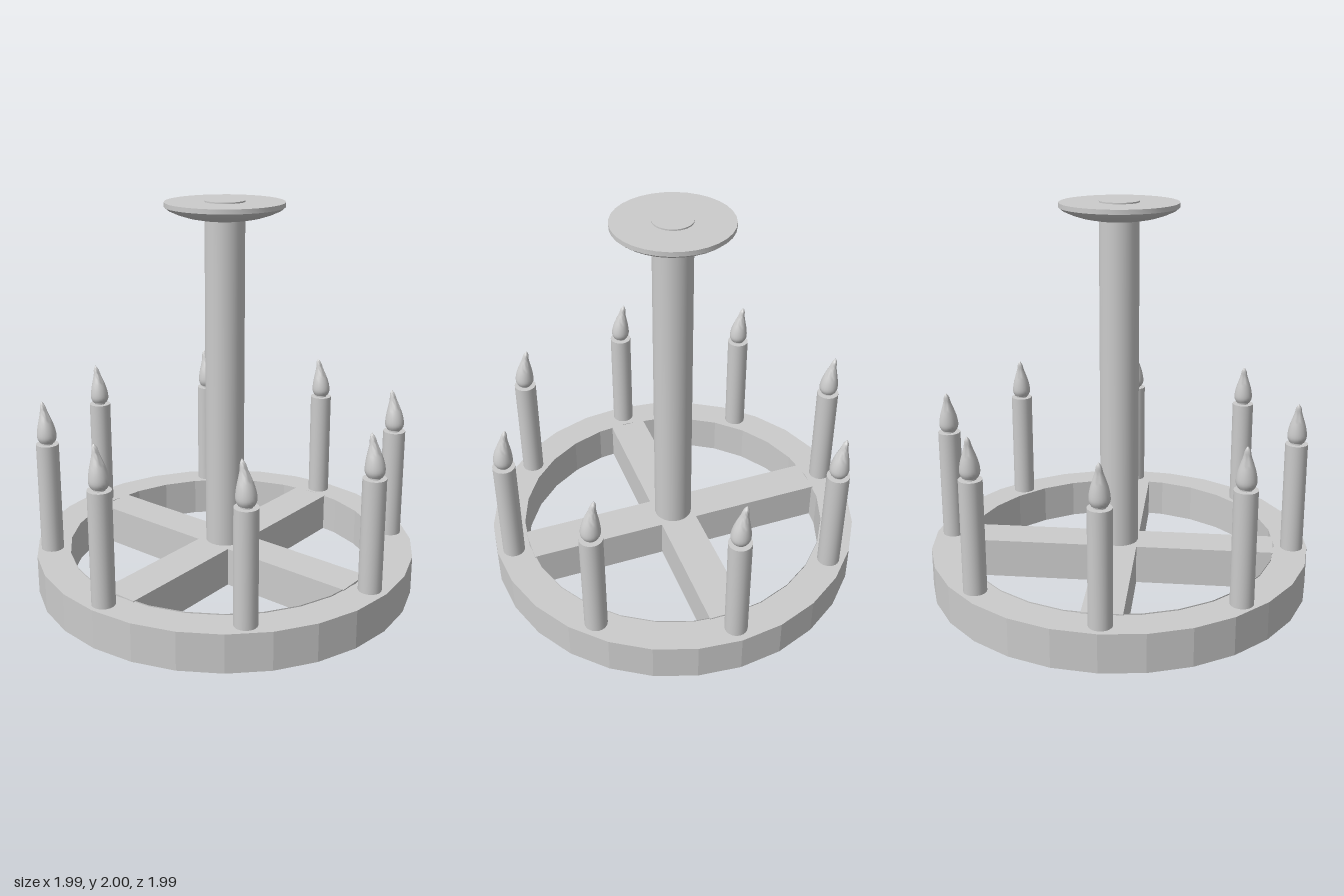
import * as THREE from 'three';
import { toCreasedNormals } from 'three/addons/utils/BufferGeometryUtils.js';

const smooth = new THREE.MeshStandardMaterial({ color: 0xcccccc, side: THREE.DoubleSide });
const faceted = new THREE.MeshStandardMaterial({ color: 0xcccccc, flatShading: true, side: THREE.DoubleSide });

function part(parent, name, geometry, material, x = 0, y = 0, z = 0) {
  const mesh = new THREE.Mesh(geometry, material);
  mesh.name = name;
  mesh.position.set(x, y, z);
  parent.add(mesh);
  return mesh;
}

const lathe = (points, sides) =>
  new THREE.LatheGeometry(points.map(([r, y]) => new THREE.Vector2(r, y)), sides);

const circlePoints = (radius, sides) =>
  Array.from({ length: sides }, (_, i) => {
    const a = (i / sides) * Math.PI * 2;
    return new THREE.Vector2(Math.cos(a) * radius, Math.sin(a) * radius);
  });

// Teardrop flame whose tip leans towards the back
function flameGeometry() {
  const outline = new THREE.SplineCurve([
    [0.038, 0], [0.048, 0.02], [0.049, 0.045], [0.042, 0.085],
    [0.03, 0.125], [0.019, 0.16], [0.013, 0.19], [0.001, 0.21],
  ].map(([r, y]) => new THREE.Vector2(r, y)));
  const points = [new THREE.Vector2(0, 0), ...outline.getPoints(18)];
  const geometry = new THREE.LatheGeometry(points, 20);
  const pos = geometry.attributes.position;
  for (let i = 0; i < pos.count; i++) {
    const t = pos.getY(i) / 0.21;
    pos.setZ(i, pos.getZ(i) - 0.026 * t * t);
  }
  return toCreasedNormals(geometry, 0.9);
}

export function createModel() {
  const model = new THREE.Group();
  model.name = 'candleChandelier';

  // Wheel rim with a slightly raised inner lip
  const rimShape = new THREE.Shape(circlePoints(0.993, 28));
  rimShape.holes.push(new THREE.Path(circlePoints(0.82, 28).reverse()));
  const rimGeometry = new THREE.ExtrudeGeometry(rimShape, { depth: 0.2, bevelEnabled: false });
  rimGeometry.rotateX(-Math.PI / 2);
  part(model, 'rim', rimGeometry, faceted);
  part(model, 'rimLip', new THREE.CylinderGeometry(0.82, 0.82, 0.206, 28, 1, true), faceted, 0, 0.103);

  // Crossed spokes
  part(model, 'spokeAcross', new THREE.BoxGeometry(1.63, 0.206, 0.2), faceted, 0, 0.103);
  for (const side of [-1, 1]) {
    part(model, 'spokeLengthwise', new THREE.BoxGeometry(0.2, 0.206, 0.715), faceted, 0, 0.103, side * 0.4575);
  }

  // Central column and ceiling plate
  part(model, 'column', new THREE.CylinderGeometry(0.1, 0.1, 1.8, 32), smooth, 0, 1.1);
  const plate = lathe([
    [0.098, 1.908], [0.14, 1.912], [0.19, 1.922], [0.24, 1.938],
    [0.28, 1.956], [0.297, 1.97], [0.297, 1.993], [0.098, 1.993],
  ], 32);
  part(model, 'ceilingPlate', toCreasedNormals(plate, 0.6), smooth);

  // Eight candles around the rim
  const candleGeometry = new THREE.CylinderGeometry(0.058, 0.058, 0.58, 24);
  const neckGeometry = new THREE.CylinderGeometry(0.03, 0.03, 0.02, 12);
  const flame = flameGeometry();
  for (let i = 0; i < 8; i++) {
    const angle = (i / 8) * Math.PI * 2;
    const candle = new THREE.Group();
    candle.name = 'candle';
    candle.position.set(Math.sin(angle) * 0.907 - 0.005, 0, Math.cos(angle) * 0.907 - 0.003);
    part(candle, 'candleStick', candleGeometry, smooth, 0, 0.49);
    part(candle, 'wick', neckGeometry, smooth, 0, 0.787);
    part(candle, 'flame', flame, smooth, 0, 0.79);
    model.add(candle);
  }
  return model;
}
